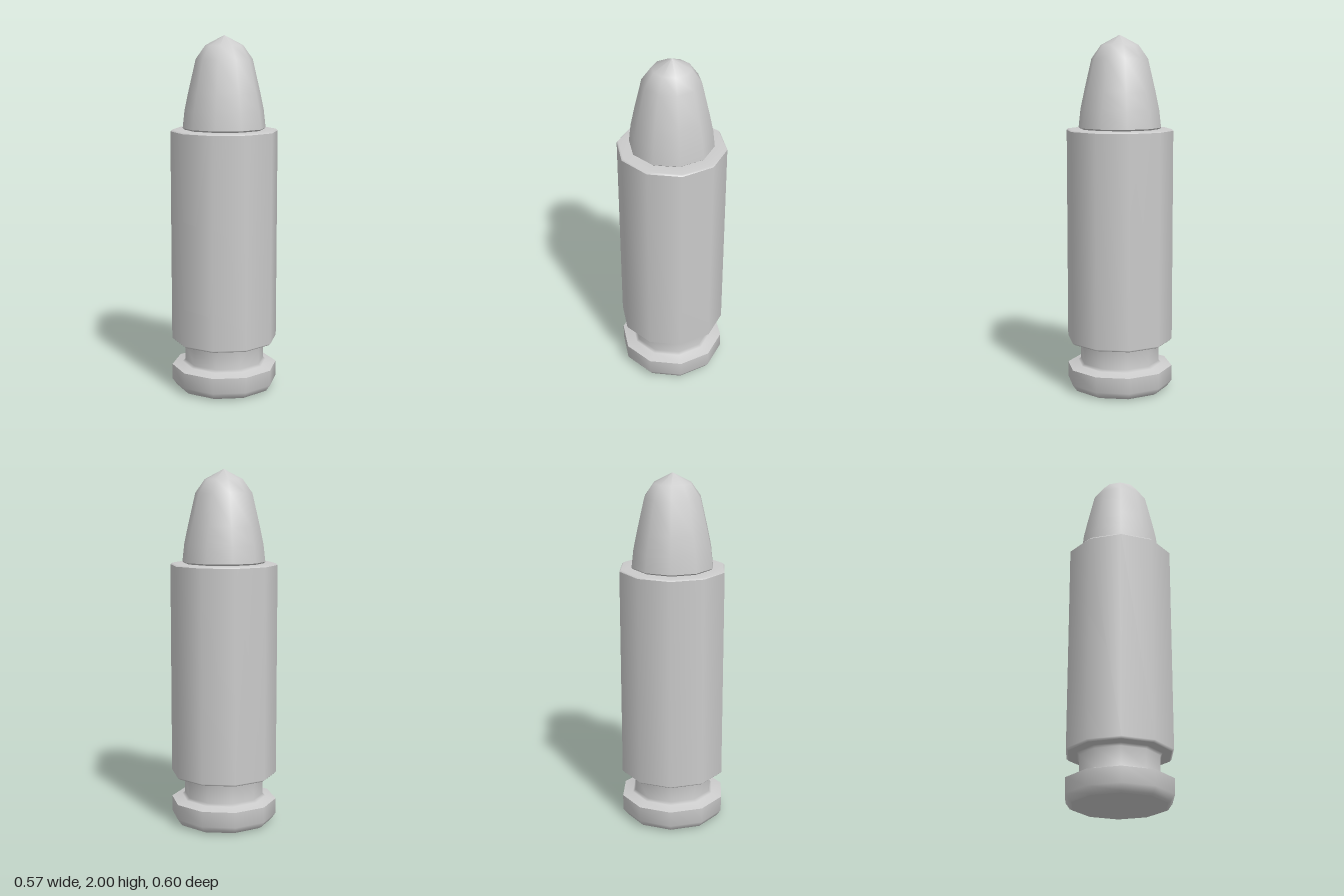
import * as THREE from 'three';

const SIDES = 10;
const material = new THREE.MeshStandardMaterial({ color: 0xcccccc });

// Ten-sided turned part; profile is [radius, height] from bottom to top.
function turned(name, profile) {
  const points = profile.map(([r, y]) => new THREE.Vector2(r, y));
  const mesh = new THREE.Mesh(new THREE.LatheGeometry(points, SIDES), material);
  mesh.name = name;
  return mesh;
}

export function createModel() {
  const group = new THREE.Group();
  group.name = 'cartridge';
  group.add(
    // Flat underside and bevelled rim
    turned('baseFace', [[0, 0], [0.262, 0.003]]),
    turned('rim', [[0.262, 0.003], [0.275, 0.01], [0.3, 0.045], [0.3, 0.132]]),
    // Extraction groove between rim and case
    turned('groove', [
      [0.3, 0.132], [0.24, 0.147], [0.225, 0.16], [0.225, 0.262], [0.238, 0.275], [0.288, 0.279],
    ]),
    // Straight case wall with softened ends
    turned('caseWall', [[0.288, 0.279], [0.3, 0.29], [0.3, 1.475]]),
    turned('caseMouth', [[0.3, 1.475], [0.291, 1.484], [0.222, 1.484]]),
    // Projectile seated in the mouth
    turned('projectileSeat', [[0.222, 1.484], [0.232, 1.492]]),
    turned('projectile', [
      [0.232, 1.492], [0.221, 1.59], [0.2, 1.69], [0.158, 1.87], [0.105, 1.945], [0, 2],
    ]),
  );
  return group;
}
